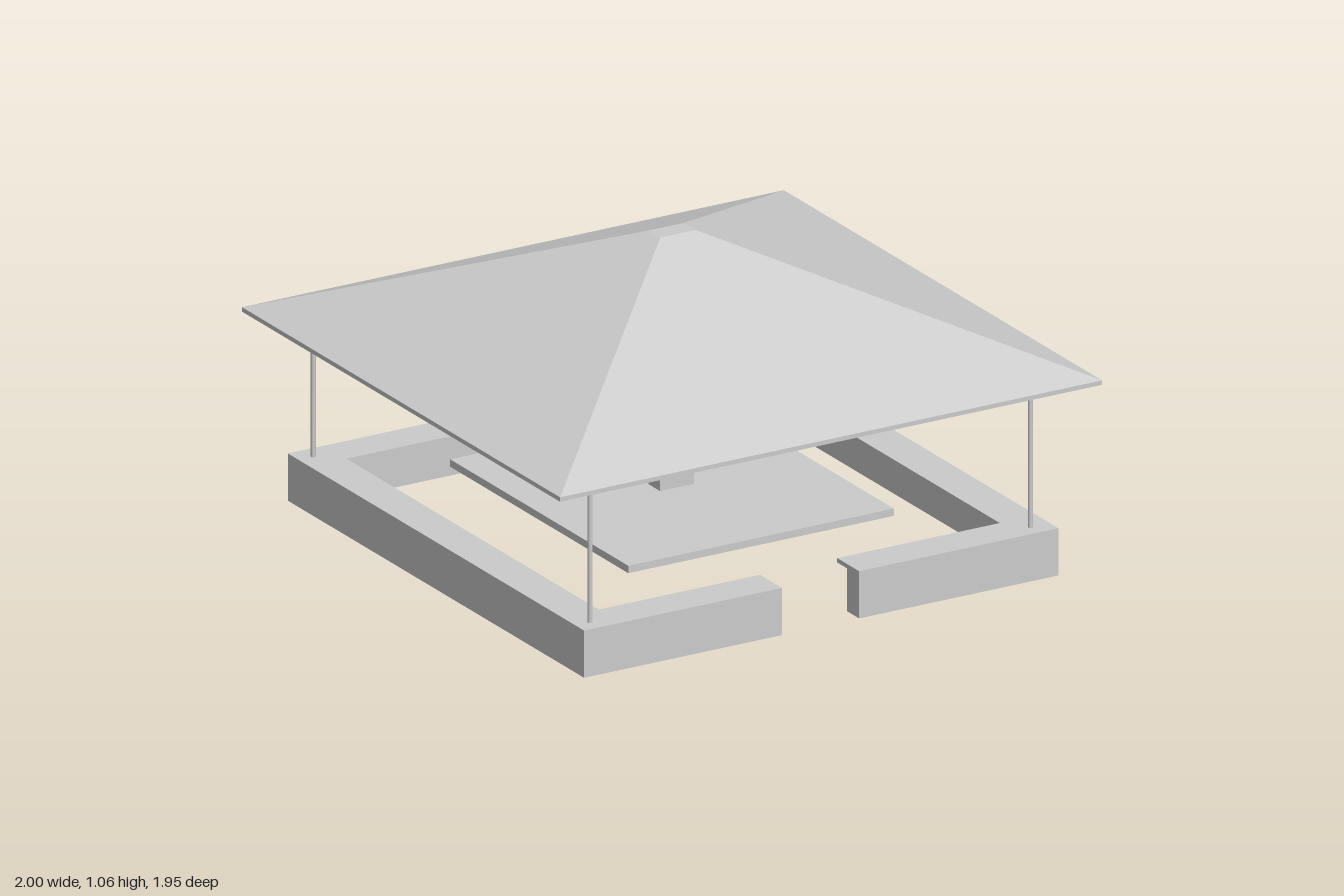
import * as THREE from 'three';

const material = new THREE.MeshStandardMaterial({ color: 0xcccccc });

export function createModel() {
  const model = new THREE.Group();

  const add = (name, geometry, x = 0, y = 0, z = 0, parent = model) => {
    const mesh = new THREE.Mesh(geometry, material);
    mesh.name = name;
    mesh.position.set(x, y, z);
    parent.add(mesh);
    return mesh;
  };

  // Box given by its extents on each axis
  const block = (name, [x0, x1], [y0, y1], [z0, z1]) =>
    add(name, new THREE.BoxGeometry(x1 - x0, y1 - y0, z1 - z0),
      (x0 + x1) / 2, (y0 + y1) / 2, (z0 + z1) / 2);

  // Rectangular frustum: half sizes at the bottom and at the top
  const frustum = (name, [bx, bz], [tx, tz], y0, y1) => {
    const geometry = new THREE.BoxGeometry(2, y1 - y0, 2);
    const p = geometry.attributes.position;
    for (let i = 0; i < p.count; i++) {
      const top = p.getY(i) > 0;
      p.setX(i, p.getX(i) * (top ? tx : bx));
      p.setZ(i, p.getZ(i) * (top ? tz : bz));
    }
    geometry.computeVertexNormals();
    return add(name, geometry, 0, (y0 + y1) / 2, 0);
  };

  // Low wall: a rectangular ring with an entrance gap at the front
  const ring = (name, t, y0, y1) => {
    const [l, r, f, b, g0, g1] = [-0.85, 0.9, -0.875, 0.945, -0.12, 0.165];
    const shape = new THREE.Shape([
      [g1, f], [r, f], [r, b], [l, b], [l, f], [g0, f], [g0, f + t], [l + t, f + t],
      [l + t, b - t], [r - t, b - t], [r - t, f + t], [g1, f + t],
    ].map(([x, y]) => new THREE.Vector2(x, y)));
    const geometry = new THREE.ExtrudeGeometry(shape, { depth: y1 - y0, bevelEnabled: false });
    geometry.rotateX(-Math.PI / 2);
    add(name, geometry, 0, y0, 0);
  };
  ring('counterWall', 0.075, 0, 0.145);
  ring('counterLedge', 0.135, 0.145, 0.16);

  // Corner posts
  for (const x of [-0.795, 0.83])
    for (const z of [0.82, -0.88])
      add('post', new THREE.CylinderGeometry(0.008, 0.008, 0.5, 12), x, 0.41, z);

  // Roof with a thin eave slab and a small flat top
  block('eave', [-1, 1], [0.66, 0.675], [-0.977, 0.977]);
  frustum('roof', [1, 0.977], [0.065, 0.036], 0.675, 1.06);

  // Central table, its pedestal and the column up to the roof
  block('tableTop', [-0.49, 0.49], [0.175, 0.2], [-0.547, 0.547]);
  block('tableCollar', [-0.195, 0.195], [0.163, 0.175], [-0.112, 0.112]);
  frustum('pedestal', [0.092, 0.05], [0.19, 0.11], 0.065, 0.163);
  block('foot', [-0.16, 0.16], [0.02, 0.065], [-0.095, 0.095]);
  block('column', [-0.065, 0.06], [0.2, 0.66], [-0.035, 0.035]);

  // Stepped bottle shelf behind the column
  block('upperShelf', [-0.15, 0.07], [0.2, 0.355], [-0.18, -0.115]);
  block('lowerShelf', [-0.15, 0.07], [0.2, 0.26], [-0.31, -0.18]);

  // Bottles in rows on the shelf and on the table
  const bottleGeometry = new THREE.LatheGeometry([
    [0, 0], [0.017, 0], [0.018, 0.004], [0.018, 0.05], [0.015, 0.06], [0.008, 0.07],
    [0.007, 0.088], [0.01, 0.09], [0.01, 0.096], [0, 0.096],
  ].map(([x, y]) => new THREE.Vector2(x, y)), 14);
  const shelfX = [-0.11, -0.04, 0.03];
  const tableX = [-0.195, -0.125, -0.053, 0.018, 0.088];
  const rows = [
    [shelfX, 0.355, -0.15], [shelfX, 0.26, -0.22], [shelfX, 0.26, -0.277],
    [tableX.slice(1), 0.2, -0.35], [tableX, 0.2, -0.42], [tableX, 0.2, -0.495],
  ];
  for (const [xs, y, z] of rows)
    for (const x of xs) add('bottle', bottleGeometry, x, y, z);

  // Shaker with a broad flat cap
  const shaker = new THREE.Group();
  shaker.name = 'shaker';
  shaker.position.set(-0.195, 0.2, -0.35);
  model.add(shaker);
  add('shakerBody', bottleGeometry, 0, 0, 0, shaker);
  add('shakerCap', new THREE.CylinderGeometry(0.02, 0.026, 0.008, 16), 0, 0.08, 0, shaker);

  // Stacks of dishes with a central pin
  for (const [x, z] of [[0.18, -0.5], [-0.275, -0.5], [-0.295, -0.33]]) {
    const stack = new THREE.Group();
    stack.name = 'dishStack';
    stack.position.set(x, 0.2, z);
    model.add(stack);
    for (let i = 0; i < 3; i++)
      add('dish', new THREE.CylinderGeometry(0.026, 0.02, 0.012, 16), 0, 0.01 + i * 0.018, 0, stack);
    add('pin', new THREE.CylinderGeometry(0.005, 0.005, 0.076, 8), 0, 0.038, 0, stack);
  }

  return model;
}
